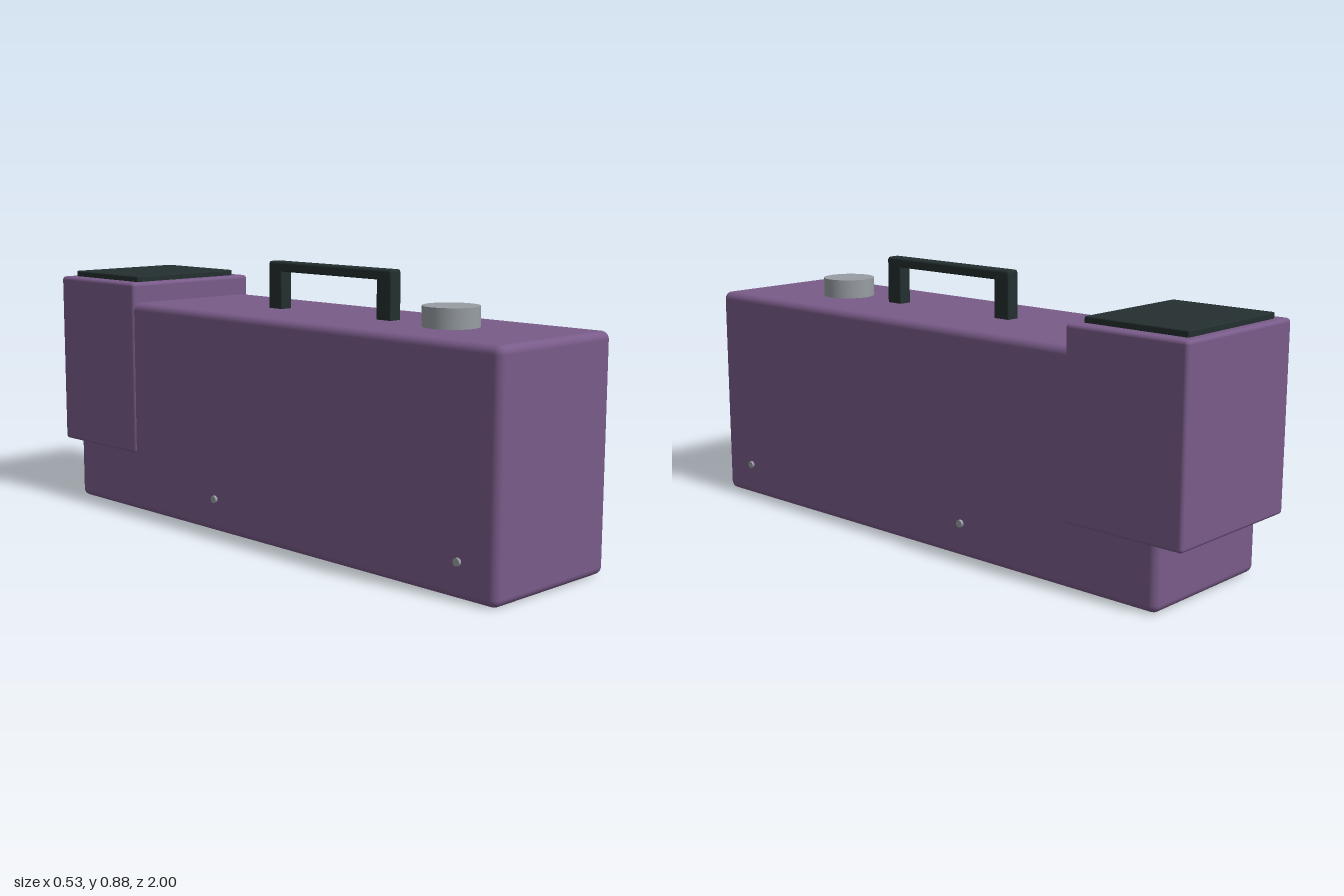
import * as THREE from 'three';
import { RoundedBoxGeometry } from 'three/addons/geometries/RoundedBoxGeometry.js';

const material = (name, color) => {
  const m = new THREE.MeshStandardMaterial({ color });
  m.name = name;
  return m;
};

export function createModel() {
  const group = new THREE.Group();
  const purple = material('purple casing', 0x795b89);
  const black = material('dark rubber', 0x242f2f);
  const grey = material('grey metal', 0x979da3);

  const add = (name, geometry, mat, x, y, z, parent = group) => {
    const mesh = new THREE.Mesh(geometry, mat);
    mesh.name = name;
    mesh.position.set(x, y, z);
    parent.add(mesh);
    return mesh;
  };
  // Rounded box given by its lower and upper limits in y and z, centred on x = 0
  const block = (name, mat, width, y0, y1, z0, z1, radius, parent) =>
    add(name, new RoundedBoxGeometry(width, y1 - y0, z1 - z0, 4, radius), mat,
      0, (y0 + y1) / 2, (z0 + z1) / 2, parent);

  // Casing, raised rear housing and its top pad
  block('body', purple, 0.51, 0, 0.723, -0.915, 1, 0.025);
  block('rearHousing', purple, 0.52, 0.2, 0.791, -1, -0.58, 0.012);
  block('topPad', black, 0.43, 0.78, 0.81, -0.97, -0.613, 0.004);

  // Carrying handle: two posts and a grip
  const handle = new THREE.Group();
  handle.name = 'handle';
  group.add(handle);
  block('handleGrip', black, 0.048, 0.845, 0.878, -0.155, 0.39, 0.008, handle);
  for (const z of [-0.155, 0.33]) {
    block('handlePost', black, 0.046, 0.715, 0.872, z, z + 0.06, 0.004, handle);
  }

  // Round cap on top
  add('cap', new THREE.CylinderGeometry(0.087, 0.087, 0.065, 48), grey, 0, 0.753, 0.611);

  // Small screws along both lower sides
  const screw = new THREE.CylinderGeometry(0.012, 0.012, 0.02, 16).rotateZ(Math.PI / 2);
  for (const side of [-1, 1]) {
    for (const z of [0.865, -0.167]) add('screw', screw, grey, side * 0.254, 0.111, z);
  }
  return group;
}
